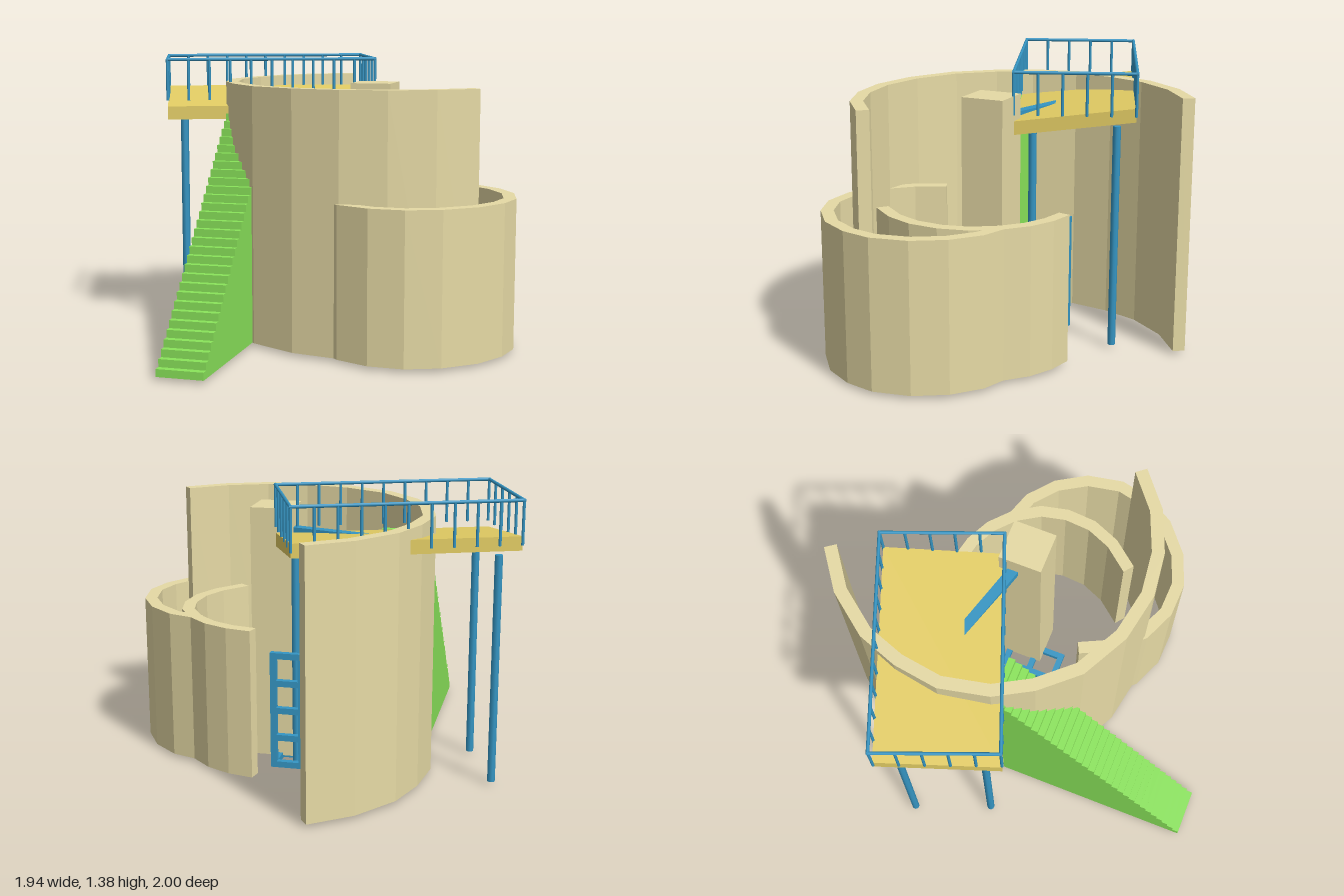
import * as THREE from 'three';

const mat = (name, color) => new THREE.MeshStandardMaterial({ name, color });

export function createModel() {
  const sand = mat('sand', 0xe6daa5);
  const gold = mat('gold', 0xe3cd64);
  const green = mat('green', 0x8ae45a);
  const blue = mat('blue', 0x3596c4);
  const model = new THREE.Group();

  const add = (parent, name, geometry, material, x = 0, y = 0, z = 0) => {
    const mesh = new THREE.Mesh(geometry, material);
    mesh.name = name;
    mesh.position.set(x, y, z);
    parent.add(mesh);
    return mesh;
  };
  const box = (parent, name, material, w, h, d, x, y, z) =>
    add(parent, name, new THREE.BoxGeometry(w, h, d), material, x, y, z);

  // Upright wall of even thickness along a faceted path of [x, z] points
  const wall = (name, path, top, thickness = 0.06, base = 0.016) => {
    const pts = path.map(([x, z]) => new THREE.Vector2(x, -z));
    const normal = (a, b) => new THREE.Vector2(a.y - b.y, b.x - a.x).normalize();
    const left = [], right = [];
    pts.forEach((p, i) => {
      const n1 = normal(pts[Math.max(i - 1, 0)], pts[Math.max(i, 1)]);
      const last = pts.length - 1;
      const n2 = normal(pts[Math.min(i, last - 1)], pts[Math.min(i + 1, last)]);
      const m = n1.clone().add(n2).normalize();
      m.multiplyScalar(thickness / 2 / m.dot(n1));
      left.push(p.clone().add(m));
      right.unshift(p.clone().sub(m));
    });
    const geo = new THREE.ExtrudeGeometry(new THREE.Shape([...left, ...right]),
      { depth: top - base, bevelEnabled: false });
    geo.rotateX(-Math.PI / 2);
    add(model, name, geo, sand, 0, base, 0);
  };

  wall('tallCurvedWall', [[-0.1, -0.975], [-0.285, -0.84], [-0.43, -0.65], [-0.497, -0.46],
    [-0.527, -0.25], [-0.478, -0.02], [-0.382, 0.15], [-0.235, 0.315], [-0.015, 0.43],
    [0.213, 0.473], [0.425, 0.448], [0.625, 0.367], [0.795, 0.23]], 1.26);
  wall('lowOuterWall', [[0.034, 0.22], [0.104, 0.365], [0.224, 0.493], [0.374, 0.558],
    [0.534, 0.564], [0.684, 0.507], [0.824, 0.392], [0.908, 0.25], [0.94, 0.11],
    [0.908, -0.06], [0.823, -0.2], [0.703, -0.3], [0.56, -0.347]], 0.74);
  wall('lowInnerWall', [[0.25, -0.51], [0.37, -0.485], [0.483, -0.43], [0.583, -0.34],
    [0.658, -0.22], [0.687, -0.09], [0.677, 0.05], [0.622, 0.18], [0.52, 0.305]], 0.74);

  // Square pillar
  box(model, 'pillar', sand, 0.2, 1.244, 0.21, 0.233, 0.638, -0.125);

  // Solid staircase climbing toward the back
  const steps = 31, front = 1, back = -0.02, low = 0.016, high = 1.14;
  const profile = [new THREE.Vector2(back, low), new THREE.Vector2(front, low)];
  for (let i = 0; i < steps; i++) {
    const y = low + (high - low) * (i + 1) / steps;
    profile.push(new THREE.Vector2(front + (back - front) * i / steps, y));
    profile.push(new THREE.Vector2(front + (back - front) * (i + 1) / steps, y));
  }
  const stairGeo = new THREE.ExtrudeGeometry(new THREE.Shape(profile),
    { depth: 0.225, bevelEnabled: false });
  stairGeo.rotateY(-Math.PI / 2);
  add(model, 'staircase', stairGeo, green, -0.265, 0, 0);

  // Turned deck group: sloping slab, level railing and supports
  const deck = new THREE.Group();
  deck.name = 'deck';
  deck.position.set(-0.378, 0, -0.306);
  deck.rotation.y = 0.369;
  model.add(deck);
  const L = 1.036, W = 0.57;
  const slab = new THREE.BoxGeometry(L, 0.065, W);
  const pos = slab.attributes.position;
  for (let i = 0; i < pos.count; i++) pos.setY(i, pos.getY(i) - 0.07 * pos.getZ(i) / W);
  slab.computeVertexNormals();
  add(deck, 'deckSlab', slab, gold, 0, 1.143, 0);

  const railY = 1.372, postLow = 1.17;
  const post = new THREE.CylinderGeometry(0.007, 0.007, railY - postLow, 8);
  const addPost = (x, z) => add(deck, 'railPost', post, blue, x, (railY + postLow) / 2, z);
  const rail = (name, length, x, z, alongX) => {
    const geo = new THREE.CylinderGeometry(0.008, 0.008, length + 0.012, 8);
    if (alongX) geo.rotateZ(Math.PI / 2);
    else geo.rotateX(Math.PI / 2);
    add(deck, name, geo, blue, x, railY, z);
  };
  for (const s of [-1, 1]) {
    rail('longRail', L, 0, s * W / 2, true);
    rail('shortRail', W, s * L / 2, 0, false);
    for (let i = 0; i <= 10; i++) addPost(L * (i / 10 - 0.5), s * W / 2);
    for (let i = 1; i < 5; i++) addPost(s * L / 2, W * (i / 5 - 0.5));
    for (const t of [-1, 1]) {
      add(deck, 'supportColumn', new THREE.CylinderGeometry(0.019, 0.019, 1.094, 8), blue,
        s * (L / 2 - 0.081), 0.563, t * (W / 2 - 0.087));
    }
  }

  // Level beam from the deck into the pillar
  const beam = box(model, 'linkBeam', blue, 0.46, 0.04, 0.05, -0.03, 1.143, -0.208);
  beam.rotation.y = -0.285;

  // Square lattice: floor panel and upright panel at its back edge
  const bar = 0.03, cell = 0.138, x0 = -0.215, zBack = -0.335;
  const span = cell * 3, rise = cell * 4, floorY = bar / 2;
  for (let i = 0; i < 4; i++) {
    const x = x0 + i * cell;
    box(model, 'floorBar', blue, bar, bar, span + bar, x, floorY, zBack + span / 2);
    box(model, 'floorCrossBar', blue, span + bar, bar, bar, x0 + span / 2, floorY, zBack + i * cell);
    box(model, 'uprightBar', blue, bar, rise + bar, bar, x, floorY + rise / 2, zBack);
    box(model, 'rungBar', blue, span + bar, bar, bar, x0 + span / 2, floorY + (i + 1) * cell, zBack);
  }
  return model;
}
